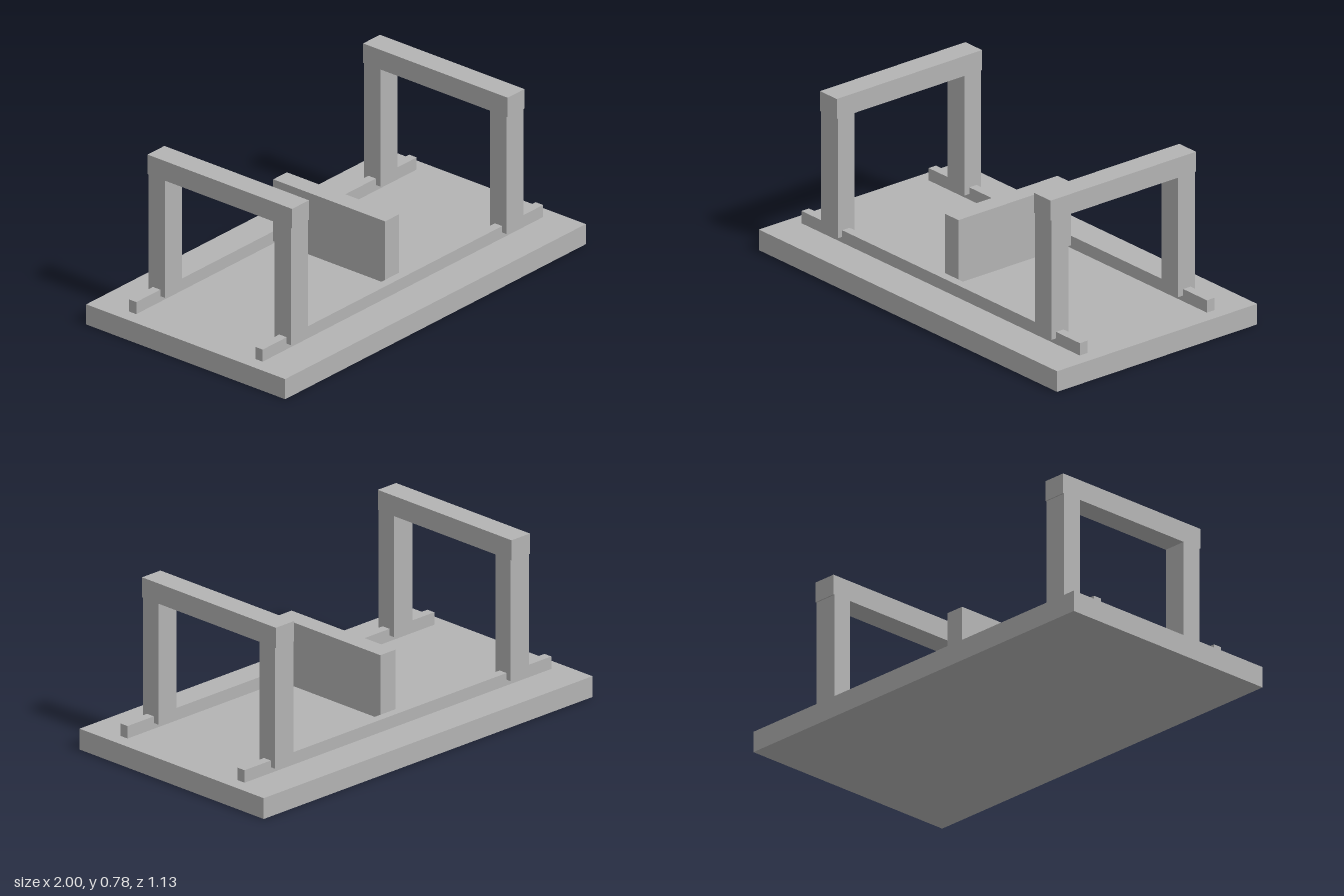
import * as THREE from 'three';

export function createModel() {
  const model = new THREE.Group();
  const grey = new THREE.MeshStandardMaterial({ color: 0xb3b3b3 });
  grey.name = 'plain grey';

  // Box with its bottom at y0 and top at y1
  function box(parent, name, width, depth, y0, y1, x = 0, z = 0) {
    const mesh = new THREE.Mesh(new THREE.BoxGeometry(width, y1 - y0, depth), grey);
    mesh.name = name;
    mesh.position.set(x, (y0 + y1) / 2, z);
    parent.add(mesh);
  }

  box(model, 'basePlate', 2, 1.13, 0, 0.097);

  // Rails along the plate
  for (const [side, s] of [['front', 1], ['back', -1]]) {
    box(model, side + 'Rail', 1.866, 0.042, 0.097, 0.155, 0, s * 0.359);
  }

  // Gantry frames straddling the rails, crossbeam slightly overhanging the posts
  for (const [side, s] of [['left', 1], ['right', -1]]) {
    const gantry = new THREE.Group();
    gantry.name = side + 'Gantry';
    gantry.position.x = s * 0.717;
    box(gantry, 'frontPost', 0.112, 0.094, 0.124, 0.688, 0, 0.3575);
    box(gantry, 'backPost', 0.112, 0.094, 0.124, 0.688, 0, -0.3575);
    box(gantry, 'crossbeam', 0.112, 0.821, 0.688, 0.782);
    model.add(gantry);
  }

  // Upright panel raised just above the plate
  box(model, 'centrePanel', 0.091, 0.636, 0.124, 0.421);

  return model;
}
